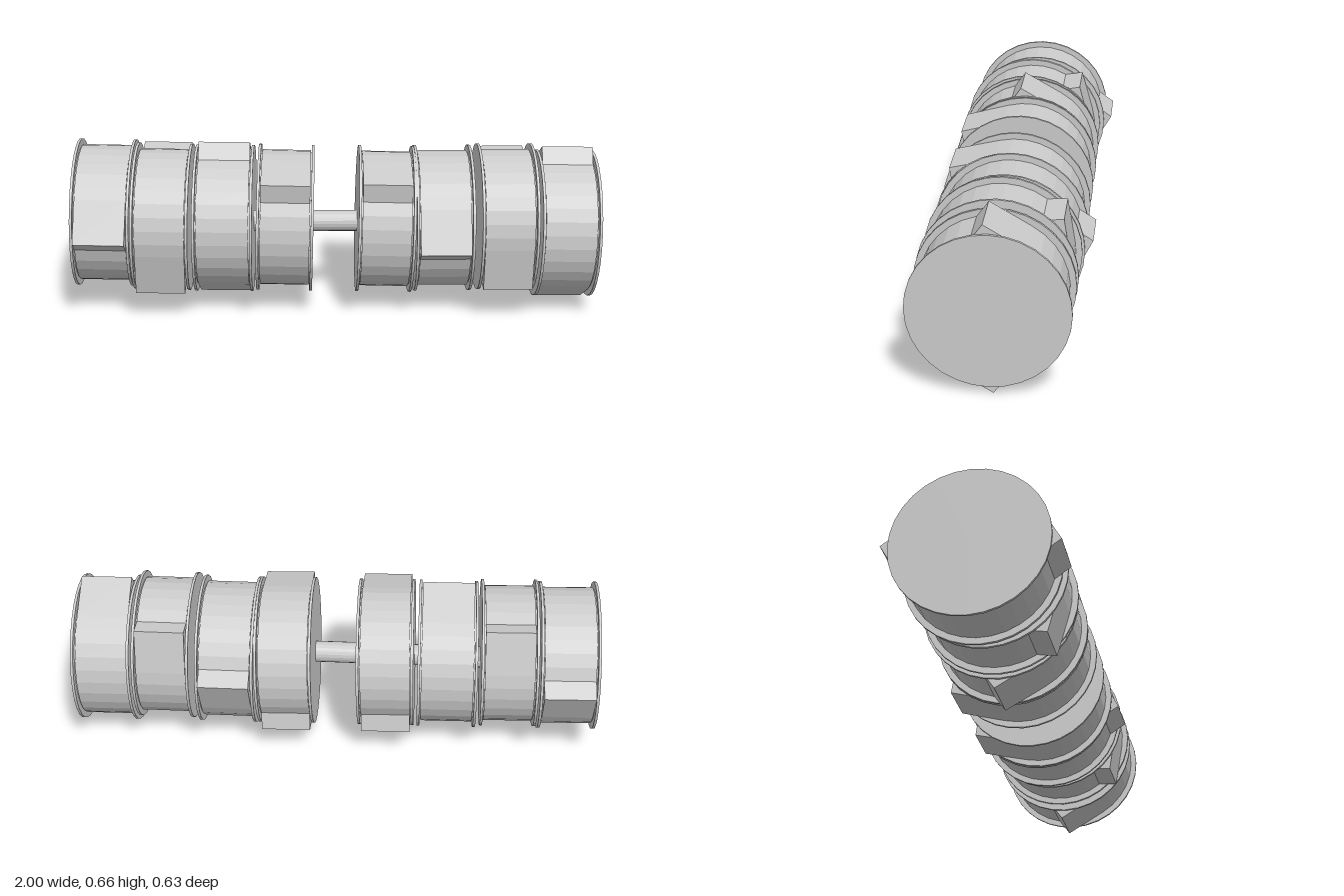
import * as THREE from 'three';

const BODY_R = 0.263, FLANGE_R = 0.285, TOOTH_R = 0.316, SIDES = 32;
const deg = Math.PI / 180;

// Drum outline: a circle carrying two opposite sawtooth points
function ratchetShape(angle) {
  const pts = [];
  const add = (r, a) => pts.push(new THREE.Vector2(r * Math.cos(a * deg), r * Math.sin(a * deg)));
  for (const start of [angle, angle + 180]) {
    add(TOOTH_R, start);                       // tooth tip
    const from = start + 10, to = start + 147; // foot of steep face to foot of the long ramp
    for (let i = 0; i <= 12; i++) add(BODY_R, from + ((to - from) * i) / 12);
  }
  return new THREE.Shape(pts);
}

function makeMesh(name, geometry, material) {
  const mesh = new THREE.Mesh(geometry, material);
  mesh.name = name;
  return mesh;
}

// Drum along local x: toothed body between two thin flanges
function makeDrum({ x0, x1, y, z, angle, tilt }, material) {
  const drum = new THREE.Group();
  const width = x1 - x0, t = 0.01, gap = 0.004;
  const bodyWidth = width - 2 * t - 2 * gap;

  const bodyGeo = new THREE.ExtrudeGeometry(ratchetShape(angle), { depth: bodyWidth, bevelEnabled: false });
  bodyGeo.translate(0, 0, -bodyWidth / 2).rotateY(Math.PI / 2);
  drum.add(makeMesh('toothedBody', bodyGeo, material));

  for (const side of [-1, 1]) {
    // collar joining the body to its flange
    const collar = new THREE.CylinderGeometry(BODY_R - 0.006, BODY_R - 0.006, gap * 2, SIDES).rotateZ(Math.PI / 2);
    const flange = new THREE.CylinderGeometry(FLANGE_R, FLANGE_R, t, SIDES).rotateZ(Math.PI / 2);
    const collarMesh = makeMesh('collar', collar, material);
    const flangeMesh = makeMesh('flange', flange, material);
    collarMesh.position.x = side * (bodyWidth / 2 + gap / 2);
    flangeMesh.position.x = side * (width / 2 - t / 2);
    drum.add(collarMesh, flangeMesh);
  }

  drum.position.set((x0 + x1) / 2, y, z);
  drum.rotation.z = tilt;
  return drum;
}

export function createModel() {
  const model = new THREE.Group();
  model.name = 'ratchetDrumShaft';
  const material = new THREE.MeshStandardMaterial({ color: 0xcccccc, flatShading: true });

  // Drums sit slightly unevenly on the shaft; tooth angles step by about 45 degrees
  const drums = [
    { x0: -0.995, x1: -0.775, y: 0.364, z: -0.003, angle: 3.6, tilt: -0.025 },
    { x0: -0.77, x1: -0.555, y: 0.352, z: 0.014, angle: 49, tilt: -0.025 },
    { x0: -0.54, x1: -0.315, y: 0.343, z: 0.008, angle: 94, tilt: -0.015 },
    { x0: -0.3, x1: -0.085, y: 0.343, z: 0.005, angle: 138.6, tilt: -0.025 },
    { x0: 0.085, x1: 0.3, y: 0.336, z: 0.005, angle: 137, tilt: -0.025 },
    { x0: 0.305, x1: 0.525, y: 0.337, z: 0, angle: 7, tilt: 0 },
    { x0: 0.55, x1: 0.765, y: 0.344, z: 0.007, angle: 43, tilt: 0 },
    { x0: 0.775, x1: 0.997, y: 0.319, z: 0.012, angle: 93, tilt: -0.015 },
  ];
  drums.forEach((d, i) => {
    const drum = makeDrum(d, material);
    drum.name = `drum${i + 1}`;
    model.add(drum);
  });

  // Central shaft through all drums
  const shaft = makeMesh('shaft', new THREE.CylinderGeometry(0.041, 0.041, 1.96, 20).rotateZ(Math.PI / 2), material);
  shaft.position.set(0, 0.33, 0.01);
  model.add(shaft);

  return model;
}
